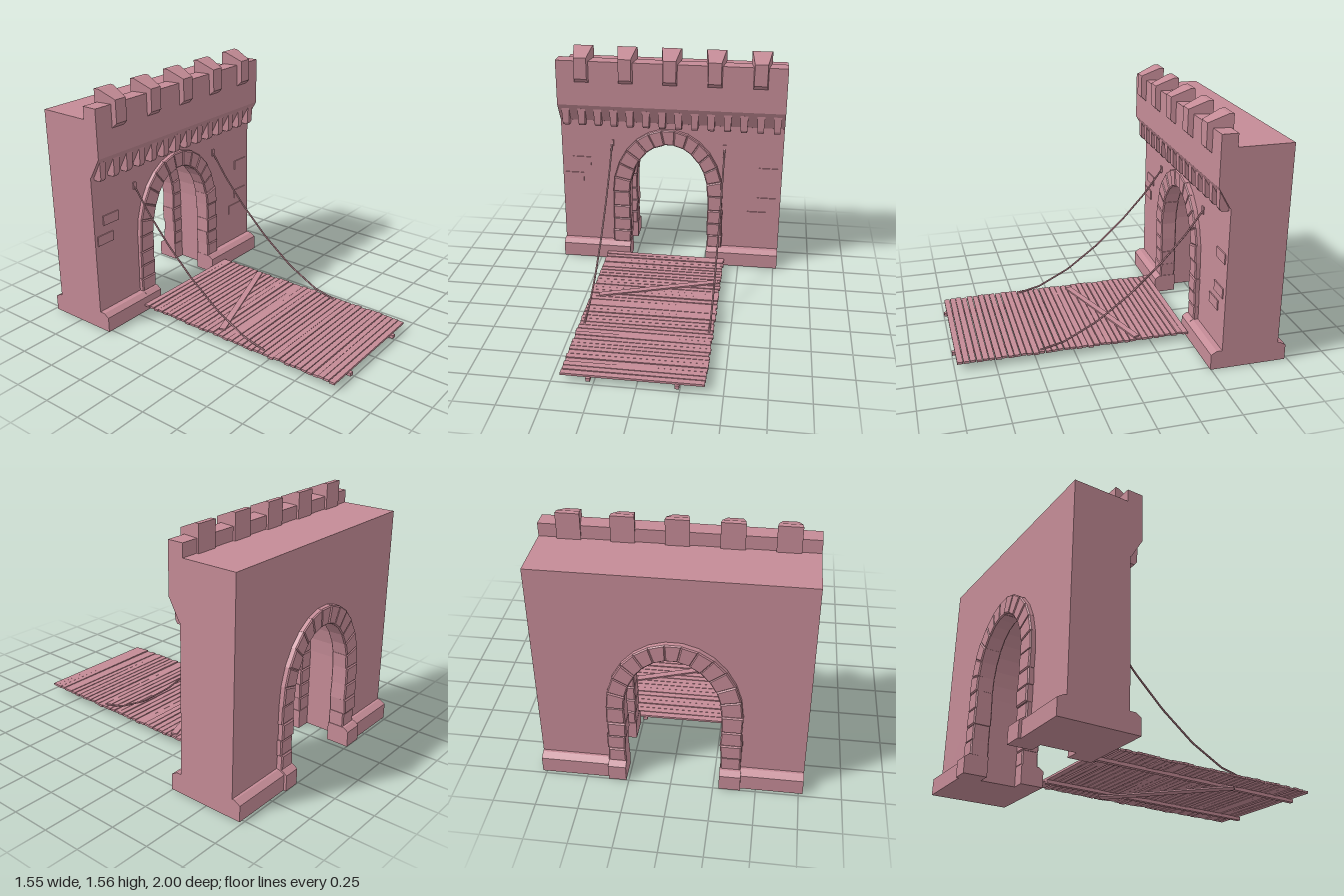
import * as THREE from 'three';

const material = new THREE.MeshStandardMaterial({ color: 0xc48b96, flatShading: true });

let seed = 7;
const rand = () => {
  seed = (seed * 16807) % 2147483647;
  return seed / 2147483647;
};
const jitter = (a) => (rand() - 0.5) * 2 * a;
const lerp = THREE.MathUtils.lerp;

function add(parent, name, geometry) {
  const mesh = new THREE.Mesh(geometry, material);
  mesh.name = name;
  parent.add(mesh);
  return mesh;
}

function group(parent, name) {
  const g = new THREE.Group();
  g.name = name;
  parent.add(g);
  return g;
}

// Box from its limits on each axis
function box(x0, x1, y0, y1, z0, z1) {
  return new THREE.BoxGeometry(x1 - x0, y1 - y0, z1 - z0)
    .translate((x0 + x1) / 2, (y0 + y1) / 2, (z0 + z1) / 2);
}

// Side profile given as [z, y] points, extruded from x0 to x1
function sideProfile(points, x0, x1) {
  const shape = new THREE.Shape(points.map(([z, y]) => new THREE.Vector2(z, y)));
  return new THREE.ExtrudeGeometry(shape, { depth: x1 - x0, bevelEnabled: false })
    .rotateY(-Math.PI / 2).translate(x1, 0, 0);
}

// Scale x around 0 by a rule of the vertex position
function taper(geometry, rule) {
  const p = geometry.attributes.position;
  for (let i = 0; i < p.count; i++) p.setX(i, p.getX(i) * rule(p.getY(i), p.getZ(i)));
  geometry.computeVertexNormals();
  return geometry;
}

// Point on the arch: f = 0 is the inner edge, 1 the outer edge
const SPRING = 0.52;
function archPoint(angle, f) {
  return new THREE.Vector2(
    lerp(-0.01, -0.02, f) + Math.cos(angle) * lerp(0.275, 0.39, f),
    SPRING + Math.sin(angle) * lerp(0.37, 0.48, f));
}

// Bevelled stone with a flat outline, between two z limits
function stone(corners, z0, z1) {
  const b = 0.007;
  const c = corners.reduce((s, p) => s.add(p), new THREE.Vector2()).divideScalar(corners.length);
  const inset = corners.map((p) => p.clone().lerp(c, 0.13));
  return new THREE.ExtrudeGeometry(new THREE.Shape(inset), {
    depth: z1 - z0 - 2 * b, bevelThickness: b, bevelSize: b, bevelSegments: 1,
  }).translate(0, 0, z0 + b);
}

function buildWall(gate) {
  // Main wall with the passage cut through it
  const outline = [new THREE.Vector2(-0.775, 0), new THREE.Vector2(-0.775, 1.4),
    new THREE.Vector2(0.775, 1.4), new THREE.Vector2(0.775, 0)];
  const f = 0.75;
  outline.push(new THREE.Vector2(archPoint(0, f).x, 0));
  for (let i = 0; i <= 16; i++) outline.push(archPoint((Math.PI * i) / 16, f));
  outline.push(new THREE.Vector2(archPoint(Math.PI, f).x, 0));
  add(gate, 'wall', new THREE.ExtrudeGeometry(new THREE.Shape(outline),
    { depth: 0.365, bevelEnabled: false }).translate(0, 0, -0.93));

  // Plinths with a sloped upper edge, front and back
  const front = [[-0.6, 0], [-0.495, 0], [-0.495, 0.1], [-0.53, 0.122], [-0.6, 0.122]];
  const back = [[-0.9, 0], [-0.9, 0.122], [-0.945, 0.122], [-0.983, 0.1], [-0.983, 0]];
  for (const [x0, x1] of [[-0.775, -0.4], [0.36, 0.775]]) {
    add(gate, 'frontPlinth', sideProfile(front, x0, x1));
    add(gate, 'backPlinth', sideProfile(back, x0, x1));
  }

  // Overhanging parapet
  add(gate, 'parapet', sideProfile([[-0.585, 1.03], [-0.56, 1.04], [-0.485, 1.17],
    [-0.485, 1.48], [-0.585, 1.48]], -0.775, 0.775));

  // Merlons, narrowing to the front
  for (let i = 0; i < 5; i++) {
    const geometry = taper(sideProfile([[-0.6, 1.39], [-0.485, 1.335], [-0.452, 1.365],
      [-0.452, 1.51], [-0.57, 1.56], [-0.6, 1.56]], -1, 1),
    (y, z) => lerp(0.068, 0.043, (z + 0.6) / 0.148));
    add(gate, 'merlon', geometry).position.x = -0.6 + i * 0.3;
  }

  // Row of corbels, narrowing downwards
  for (let i = 0; i < 14; i++) {
    const geometry = taper(sideProfile([[-0.57, 1.015], [-0.52, 1.015], [-0.506, 1.035],
      [-0.502, 1.14], [-0.57, 1.14]], -1, 1),
    (y) => lerp(0.021, 0.027, (y - 1.015) / 0.125));
    add(gate, 'corbel', geometry).position.x = -0.725 + i * 0.1115;
  }

  // A few raised bricks
  for (const [x, y] of [[-0.7, 0.7], [-0.755, 0.578], [0.615, 0.68], [0.61, 0.455], [0.545, 0.345]]) {
    add(gate, 'raisedBrick', box(x, x + 0.13, y, y + 0.064, -0.58, -0.558));
  }
}

// One ring of arch stones; outward is +1 for the front ring and -1 for the back
function buildArch(gate, name, face, outward) {
  const ring = group(gate, name);
  const place = (part, corners, proud) => {
    const outer = face + outward * proud;
    const inner = face - outward * 0.075;
    add(ring, part, stone(corners, Math.min(outer, inner), Math.max(outer, inner)));
  };
  // Voussoirs
  const count = 13;
  for (let i = 0; i < count; i++) {
    const a = (Math.PI * i) / count, b = (Math.PI * (i + 1)) / count;
    const d = jitter(0.02);
    place('archStone', [archPoint(a, d), archPoint(a, 1), archPoint(b, 1), archPoint(b, d)],
      0.033 + jitter(0.005));
  }
  // Jamb stones and the larger foot stones
  const levels = [0.12, 0.212, 0.308, 0.408, 0.522];
  for (const angle of [0, Math.PI]) {
    const xi = archPoint(angle, 0).x, xo = archPoint(angle, 1).x;
    const x0 = Math.min(xi, xo), x1 = Math.max(xi, xo);
    const quad = (y0, y1) => [[x0, y0], [x1, y0], [x1, y1], [x0, y1]]
      .map(([x, y]) => new THREE.Vector2(x + jitter(0.005), y));
    for (let i = 0; i < 4; i++) {
      place('jambStone', quad(levels[i], levels[i + 1]), 0.033 + jitter(0.005));
    }
    const footFront = [[0.075, 0], [-0.07, 0], [-0.07, 0.1], [-0.04, 0.122], [0.075, 0.122]]
      .map(([d, y]) => [face - outward * d, y]);
    if (outward < 0) footFront.reverse();
    add(ring, 'footStone', sideProfile(footFront.reverse(), x0, x1));
  }
}

function buildBridge(model) {
  const bridge = group(model, 'drawbridge');
  // Deck planks, each a little uneven
  const count = 38, pitch = 1.475 / count;
  for (let i = 0; i < count; i++) {
    const width = pitch - 0.003 - rand() * 0.003;
    const plank = add(bridge, 'plank', new THREE.BoxGeometry(0.845 + jitter(0.006), 0.014, width));
    plank.position.set(-0.025 + jitter(0.003), 0.048 + jitter(0.0025), -0.49 + (i + 0.5) * pitch);
    plank.rotation.set(jitter(0.05), jitter(0.002), jitter(0.004));
  }
  // Long rails below the deck
  for (const x of [-0.28, 0.235]) add(bridge, 'rail', box(x - 0.013, x + 0.013, 0.02, 0.042, -0.49, 1));

  // Diagonal boards from one [x, z] point to another
  const board = (name, [xa, za], [xb, zb], y, width) => {
    const length = Math.hypot(xb - xa, zb - za);
    const mesh = add(bridge, name, new THREE.BoxGeometry(length, 0.01, width));
    mesh.position.set((xa + xb) / 2, y, (za + zb) / 2);
    mesh.rotation.y = -Math.atan2(zb - za, xb - xa);
  };
  board('topBoard', [-0.39, 0.12], [0.38, -0.15], 0.06, 0.04);
  board('lowerBrace', [-0.335, 0.48], [0.29, -0.08], 0.016, 0.065);
}

function buildChains(model) {
  const path = [[-0.565, 0.88], [-0.45, 0.72], [-0.29, 0.54], [-0.1, 0.36], [0.11, 0.2],
    [0.32, 0.09], [0.47, 0.055]];
  for (const x of [-0.415, 0.373]) {
    // Sagging rope in straight pieces
    const curve = new THREE.CurvePath();
    for (let i = 1; i < path.length; i++) {
      curve.add(new THREE.LineCurve3(new THREE.Vector3(x, path[i - 1][1], path[i - 1][0]),
        new THREE.Vector3(x, path[i][1], path[i][0])));
    }
    add(model, 'rope', new THREE.TubeGeometry(curve, 36, 0.006, 6));
    // Wall bracket
    add(model, 'ropeBracket', box(x - 0.012, x + 0.012, 0.855, 0.903, -0.57, -0.557));
  }
}

export function createModel() {
  const model = new THREE.Group();
  model.name = 'castleGate';
  const gate = group(model, 'gatehouse');
  buildWall(gate);
  buildArch(gate, 'frontArch', -0.565, 1);
  buildArch(gate, 'backArch', -0.93, -1);
  buildBridge(model);
  buildChains(model);
  return model;
}
